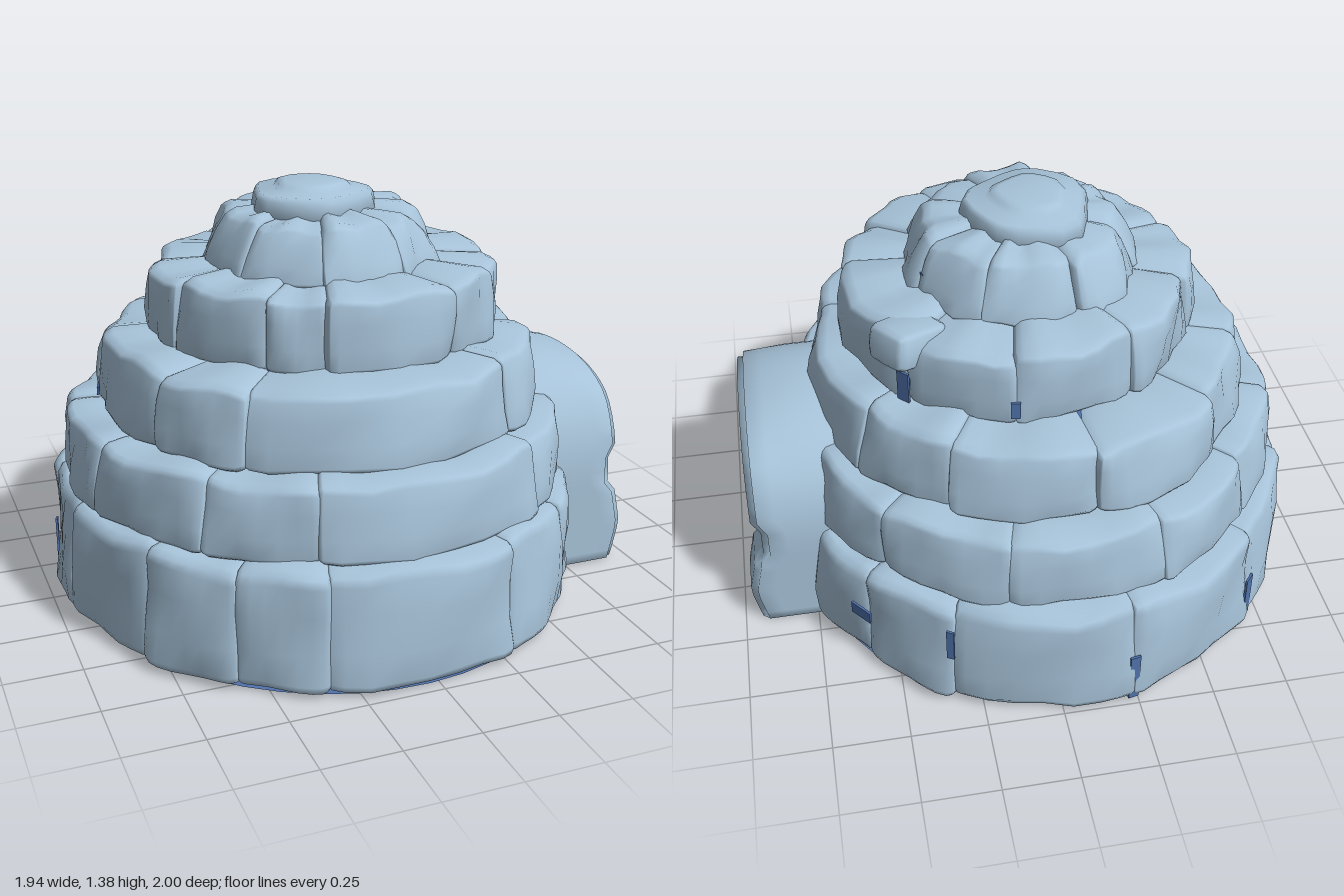
import * as THREE from 'three';
import { mergeVertices } from 'three/addons/utils/BufferGeometryUtils.js';

// Small seeded generator: jitter(a) gives a value in [-a, a]
let seed = 7;
const jitter = (a) => {
  seed = (seed * 16807) % 2147483647;
  return (seed / 2147483647 * 2 - 1) * a;
};
const { degToRad: rad, clamp } = THREE.MathUtils;

// Move every vertex by a rule, then smooth the normals
function warp(geometry, rule) {
  geometry.deleteAttribute('uv');
  geometry.deleteAttribute('normal');
  const g = mergeVertices(geometry, 1e-5);
  const p = g.attributes.position, v = new THREE.Vector3();
  for (let i = 0; i < p.count; i++) {
    rule(v.fromBufferAttribute(p, i));
    p.setXYZ(i, v.x, v.y, v.z);
  }
  g.computeVertexNormals();
  return g;
}

// Box with soft edges, its vertices gathered near the ends
function softBox(l, h, t, soft, nu, nv, nw) {
  const half = new THREE.Vector3(l, h, t).multiplyScalar(0.5);
  const core = half.clone().subScalar(soft);
  return warp(new THREE.BoxGeometry(1, 1, 1, nu, nv, nw), (v) => {
    v.set(Math.sin(Math.PI * v.x), Math.sin(Math.PI * v.y), Math.sin(Math.PI * v.z)).multiply(half);
    const c = v.clone().clamp(core.clone().negate(), core);
    const d = v.clone().sub(c);
    if (d.length() > soft) d.setLength(soft);
    v.copy(c).add(d);
  });
}

// Door arch: distance s along the path and distance r from its axis give z and y
const LEG = 0.32, ARC = Math.PI * 0.33, PATH = 2 * LEG + ARC;
function archPoint(s, r) {
  if (s < LEG) return [r, s];
  if (s > LEG + ARC) return [-r, PATH - s];
  const a = (s - LEG) / 0.33;
  return [r * Math.cos(a), LEG + r * Math.sin(a)];
}

// Courses of snow blocks, from the ground up; cuts are the seam angles in degrees from +x towards +z
const courses = [
  { y0: 0.01, y1: 0.405, cx: -0.06, rx: 0.89, rz: 0.985, t: 0.25, lean: 0.02,
    cuts: [25.2, 45, 68, 109, 127, 147, 172, 196, 225, 259, 297, 318, 334.8] },
  { y0: 0.39, y1: 0.645, cx: -0.06, rx: 0.84, rz: 0.9, t: 0.18, lean: 0.03,
    cuts: [19.5, 54, 110, 135, 165, 195, 222, 250, 285, 315, 340.5] },
  { y0: 0.63, y1: 0.89, cx: -0.05, rx: 0.73, rz: 0.77, t: 0.26, lean: 0.04,
    cuts: [17, 54, 128, 153, 196, 225, 262, 300, 327, 377] },
  { y0: 0.87, y1: 1.125, cx: -0.02, rx: 0.585, rz: 0.57, t: 0.28, lean: 0.01,
    cuts: [10, 37, 64, 108, 128, 165, 200, 240, 280, 316, 370] },
  { y0: 1.1, y1: 1.295, cx: -0.04, rx: 0.36, rz: 0.37, t: 0.22, lean: 0.09,
    cuts: [30, 64, 107, 150, 200, 250, 300, 340, 390] },
];

// Chinks of blue ice in the seams: course, angle, height, width, length
const chinks = [
  [0, 196, 0.1, 0.025, 0.14], [0, 225, 0.11, 0.045, 0.18], [0, 259, 0.11, 0.035, 0.19],
  [0, 297, 0.28, 0.025, 0.12], [0, 318, 0.245, 0.085, 0.045],
  [2, 196, 0.66, 0.06, 0.03], [3, 316, 0.95, 0.045, 0.11], [3, 280, 0.94, 0.03, 0.06],
  [4, 340, 1.17, 0.04, 0.035],
];

export function createModel() {
  seed = 7;
  const model = new THREE.Group();
  const snow = new THREE.MeshStandardMaterial({ color: 0xa7c3d9 });
  snow.name = 'snow';
  const ice = new THREE.MeshStandardMaterial({ color: 0x5072ac, side: THREE.DoubleSide });
  ice.name = 'blue ice';
  const add = (name, geometry, material, parent = model) => {
    const mesh = new THREE.Mesh(geometry, material);
    mesh.name = name;
    parent.add(mesh);
    return mesh;
  };

  // Dome of curved blocks
  courses.forEach((c, k) => {
    const course = new THREE.Group();
    course.name = 'blockCourse' + (k + 1);
    model.add(course);
    const rm = (c.rx + c.rz) / 2 - 0.04, h = c.y1 - c.y0;
    for (let i = 0; i + 1 < c.cuts.length; i++) {
      const a0 = rad(c.cuts[i]), a1 = rad(c.cuts[i + 1]);
      const da = a1 - a0, mid = (a0 + a1) / 2;
      const push = jitter(0.012), rise = jitter(0.01), tilt = jitter(0.02);
      const box = softBox(da * rm + 0.03, h, c.t, 0.045, 10, 5, 4);
      add('snowBlock', warp(box, (v) => {
        const a = mid - v.x / rm;
        const up = v.y / h;
        const wave = 0.01 * Math.sin(9 * a + 11 * v.y + k) + 0.006 * Math.sin(23 * a - 17 * v.y + i);
        const out = v.z - c.t / 2 + push + wave + tilt * v.x / (da * rm) - c.lean * up;
        const y = (c.y0 + c.y1) / 2 + v.y + (up > 0 ? rise * up * 2 : 0)
          + (up > 0.3 ? 0.008 * Math.sin(13 * a + k) - 0.05 * v.z : 0);
        v.set(c.cx + (c.rx + out) * Math.cos(a), y, (c.rz + out) * Math.sin(a));
      }), snow, course);
    }
  });

  // Blue chinks, thin plates set in the seams
  for (const [k, angle, y, w, h] of chinks) {
    const c = courses[k], a = rad(angle);
    const plate = add('iceChink', new THREE.BoxGeometry(w, h, 0.008), ice);
    plate.position.set(c.cx + (c.rx + 0.012) * Math.cos(a), y, (c.rz + 0.012) * Math.sin(a));
    plate.rotation.y = Math.atan2(Math.cos(a) / c.rx, Math.sin(a) / c.rz);
  }

  // Loose block on the upper ledge
  const loose = add('looseBlock', softBox(0.22, 0.14, 0.18, 0.05, 4, 4, 4), snow);
  loose.position.set(0.38, 1.07, -0.33);
  loose.rotation.set(0.1, 0.6, 0.12);

  // Cap stones on the crown
  const capProfile = [[0.18, 1.24], [0.21, 1.29], [0.2, 1.335], [0.185, 1.35], [0.13, 1.353], [0.115, 1.372], [0.09, 1.38], [0, 1.382]];
  const cap = new THREE.LatheGeometry(capProfile.map(([r, y]) => new THREE.Vector2(r, y)), 18);
  add('crownCap', warp(cap, (v) => {
    const a = Math.atan2(v.z, v.x);
    const s = 1 + 0.05 * Math.sin(3 * a + 1) + 0.04 * Math.sin(5 * a);
    v.set(v.x * s - 0.06, v.y, v.z * s - 0.01);
  }), snow);

  // Ice behind the seams: a stepped shell, open at the door below the third course
  const shell = (from, to, gap) => {
    const pts = [];
    for (let k = from; k <= to; k++) {
      const c = courses[k], r = (c.rx + c.rz) / 2 - 0.055;
      pts.push(new THREE.Vector2(r, c.y0 + 0.005), new THREE.Vector2(r - 0.02 - c.lean / 2, c.y1 - 0.04));
    }
    const g = new THREE.LatheGeometry(pts, 48, Math.PI / 2 + gap, Math.PI * 2 - 2 * gap);
    g.scale(0.97, 1, 1.03);
    return g.translate(-0.05, 0, 0);
  };
  add('lowerCore', shell(0, 1, 0.37), ice);
  add('upperCore', shell(2, 4, 0), ice);

  // Door arch with square shoulders and feet that step forward
  const inner = 0.24, outer = 0.42, back = 0.6, front = 0.93;
  const arch = new THREE.BoxGeometry(1, 1, 1, 44, 5, 6);
  add('doorArch', warp(arch, (v) => {
    const s = (v.x + 0.5) * PATH;
    const w = Math.sin(Math.PI * v.y), d = Math.sin(Math.PI * v.z);
    // soft front corners
    const edge = Math.abs(w) > 0.9 && d > 0.9 ? 0.022 : 0;
    const r = (inner + outer) / 2 + w * ((outer - inner) / 2 - edge);
    const turn = clamp((s - LEG) / 0.33, 0, Math.PI);
    const shoulder = w > 0 ? 0.024 * w * Math.sin(2 * turn) ** 2 : 0;
    const [z, y] = archPoint(s, r + shoulder);
    let x = (back + front) / 2 + d * (front - back) / 2 - edge;
    if (d > 0.4) {
      if (y < 0.27) x += 0.04 - 0.03 * Math.abs(y - 0.14) / 0.14;
      else if (y < 0.42) x -= 0.02;
      else x += 0.01;
    }
    const drop = y > 0.6 && d > 0.4 ? (y - 0.6) * 0.3 * d : 0;
    v.set(x, Math.max(0.008, y - drop), z);
  }), snow);

  // Tunnel lining, reaching further forward under the crown of the arch, and its end wall
  const deep = -0.23, base = 0.004;
  const width = (x) => 0.222 + 0.012 * (x - deep) / (0.88 - deep);
  add('tunnelLining', warp(new THREE.PlaneGeometry(1, 1, 40, 6), (v) => {
    const s = (v.x + 0.5) * PATH;
    const mouth = 0.62 + 0.24 * clamp((archPoint(s, 0.23)[1] - 0.25) / 0.28, 0, 1);
    const x = deep + (v.y + 0.5) * (mouth - deep);
    const [z, y] = archPoint(s, width(x));
    v.set(x, Math.max(base, y), z);
  }), ice);
  const endWall = [];
  for (let i = 0; i <= 24; i++) {
    const [z, y] = archPoint(i / 24 * PATH, width(deep));
    endWall.push(new THREE.Vector2(-z, Math.max(base, y)));
  }
  const wall = add('tunnelEnd', new THREE.ShapeGeometry(new THREE.Shape(endWall)), ice);
  wall.rotation.y = Math.PI / 2;
  wall.position.x = deep;

  // Underside of dome and feet, with the tunnel cut out
  const side = [[deep, 0.222], [0.62, 0.235], [0.92, 0.24], [0.92, 0.41], [0.72, 0.41]];
  const rim = [];
  for (let i = 0; i <= 40; i++) {
    const a = 0.46 + i / 40 * (Math.PI * 2 - 0.92);
    rim.push([-0.06 + 0.86 * Math.cos(a), 0.955 * Math.sin(a)]);
  }
  const mirrored = side.map(([x, z]) => [x, -z]).reverse();
  const outline = [...side, ...rim, ...mirrored].map(([x, z]) => new THREE.Vector2(x, z));
  const floor = new THREE.ShapeGeometry(new THREE.Shape(outline));
  floor.rotateX(Math.PI / 2);
  add('underside', floor, ice).position.y = base;

  return model;
}
